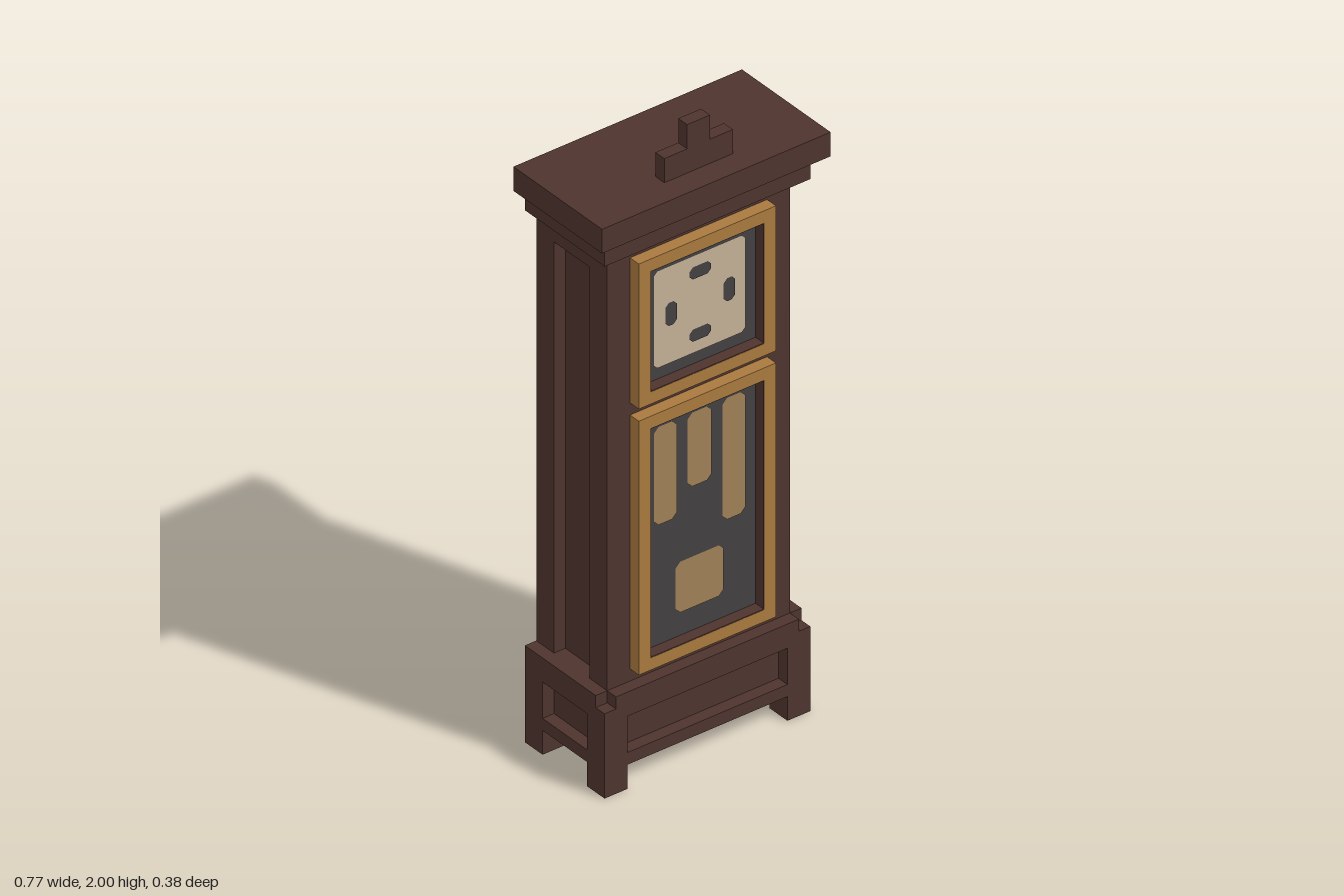
import * as THREE from 'three';

const U = 2 / 52; // grid unit: the clock is 52 units tall

const mat = (name, color) => Object.assign(new THREE.MeshStandardMaterial({ color }), { name });

export function createModel() {
  const wood = mat('dark wood', 0x4e342e);
  const gold = mat('gold trim', 0xa97a3f);
  const brass = mat('brass', 0xa08057);
  const ivory = mat('ivory dial', 0xc3b096);
  const glass = mat('dark glass', 0x424041);

  const clock = new THREE.Group();
  clock.name = 'longcaseClock';
  const group = (name) => {
    const g = new THREE.Group();
    g.name = name;
    clock.add(g);
    return g;
  };

  // Box between two corners, in grid units
  const box = (parent, name, m, x0, x1, y0, y1, z0, z1) => {
    const mesh = new THREE.Mesh(
      new THREE.BoxGeometry((x1 - x0) * U, (y1 - y0) * U, (z1 - z0) * U), m);
    mesh.position.set((x0 + x1) * U / 2, (y0 + y1) * U / 2, (z0 + z1) * U / 2);
    mesh.name = name;
    parent.add(mesh);
    return mesh;
  };
  // The same box on both sides of x = 0
  const pair = (parent, name, m, x0, x1, ...rest) => {
    box(parent, name + 'Left', m, x0, x1, ...rest);
    box(parent, name + 'Right', m, -x1, -x0, ...rest);
  };
  // Flat plate with clipped corners, facing front (or back)
  const plate = (parent, name, m, x0, x1, y0, y1, z, c, back = false) => {
    const w = (x1 - x0) / 2 * U, h = (y1 - y0) / 2 * U, k = c * U;
    const shape = new THREE.Shape([
      [-w + k, -h], [w - k, -h], [w, -h + k], [w, h - k],
      [w - k, h], [-w + k, h], [-w, h - k], [-w, -h + k],
    ].map(([x, y]) => new THREE.Vector2(x, y)));
    const mesh = new THREE.Mesh(new THREE.ShapeGeometry(shape), m);
    mesh.position.set((x0 + x1) / 2 * U, (y0 + y1) / 2 * U, z * U);
    if (back) mesh.rotation.y = Math.PI;
    mesh.name = name;
    parent.add(mesh);
  };

  // Base: four legs, rails and recessed panels
  const base = group('base');
  box(base, 'baseCore', wood, -8, 8, 2, 8, -3.5, 3);
  box(base, 'baseBackPanel', wood, -7, 7, 2, 8, -4, -3);
  pair(base, 'backLeg', wood, 7, 9, 0, 8, -5, -3);
  pair(base, 'frontLeg', wood, 7, 9, 0, 7, 2, 4);
  pair(base, 'legTopInner', wood, 7, 8, 7, 8, 3, 4);
  pair(base, 'legTopOuter', wood, 7, 9, 7, 8, 2, 3);
  for (const [name, y0, y1] of [['lower', 2, 3], ['upper', 6, 8]]) {
    box(base, name + 'FrontRail', wood, -7, 7, y0, y1, 3, 4);
    pair(base, name + 'SideRail', wood, 8, 9, y0, y1, -3, 2);
  }

  // Body: core with stiles around recessed side and back panels
  const body = group('body');
  box(body, 'bodyCore', wood, -7, 7, 8, 44, -4, 3);
  pair(body, 'frontStile', wood, 7, 8, 8, 44, 1, 3);
  pair(body, 'backPost', wood, 6, 8, 8, 44, -5, -3);
  pair(body, 'sideTopRail', wood, 7, 8, 42, 44, -3, 1);

  // Cornice and finial
  const crown = group('crown');
  box(crown, 'lowerCornice', wood, -9, 9, 44, 46, -5, 4);
  box(crown, 'upperCornice', wood, -10, 10, 46, 48, -5, 5);
  box(crown, 'finialBase', wood, -3, 3, 48, 50, 2, 3);
  box(crown, 'finialTip', wood, -1, 1, 50, 52, 2, 3);

  // Gold door frames with wooden linings and dark glass
  for (const [name, y0, y1] of [['dialDoor', 31, 43], ['pendulumDoor', 9, 30]]) {
    const door = group(name);
    pair(door, 'frameStile', gold, 5, 6, y0, y1, 3, 4);
    box(door, 'frameBottom', gold, -5, 5, y0, y0 + 1, 3, 4);
    box(door, 'frameTop', gold, -5, 5, y1 - 1, y1, 3, 4);
    const t = 0.06;
    pair(door, 'liningSide', wood, 5 - t, 5, y0 + 1, y1 - 1, 3, 3.98);
    box(door, 'liningBottom', wood, -5, 5, y0 + 1, y0 + 1 + t, 3, 3.98);
    box(door, 'liningTop', wood, -5, 5, y1 - 1 - t, y1 - 1, 3, 3.98);
    plate(door, 'glass', glass, -5, 5, y0 + 1, y1 - 1, 3.05, 0);
  }

  // Dial with four hour marks
  const dial = group('dial');
  plate(dial, 'dialFace', ivory, -4, 4, 33, 41, 3.12, 0.3);
  for (const [x, y, w, h] of [[0, 39.65, 0.95, 0.5], [0, 34.5, 0.95, 0.5],
    [-2.55, 37.1, 0.5, 0.95], [2.55, 37.1, 0.5, 0.95]]) {
    plate(dial, 'hourMark', glass, x - w, x + w, y - h, y + h, 3.19, 0.3);
  }

  // Weights and pendulum
  const works = group('pendulumAndWeights');
  for (const [name, x0, x1, y0, y1] of [
    ['weightRight', -4, -2, 20, 28.1], ['weightMiddle', -1.05, 1.05, 22, 28.1],
    ['weightLeft', 2, 4, 18.05, 28.1], ['pendulumBob', -2.1, 2.1, 12, 16.2]]) {
    plate(works, name, brass, x0, x1, y0, y1, 3.12, 0.4);
  }

  // Back hatch and plaque
  const rear = group('rear');
  box(rear, 'backHatch', wood, -4, 4, 32.5, 41, -5, -4);
  plate(rear, 'backPlaque', gold, -2, 2, 41.3, 43.3, -4.06, 0.4, true);

  return clock;
}
